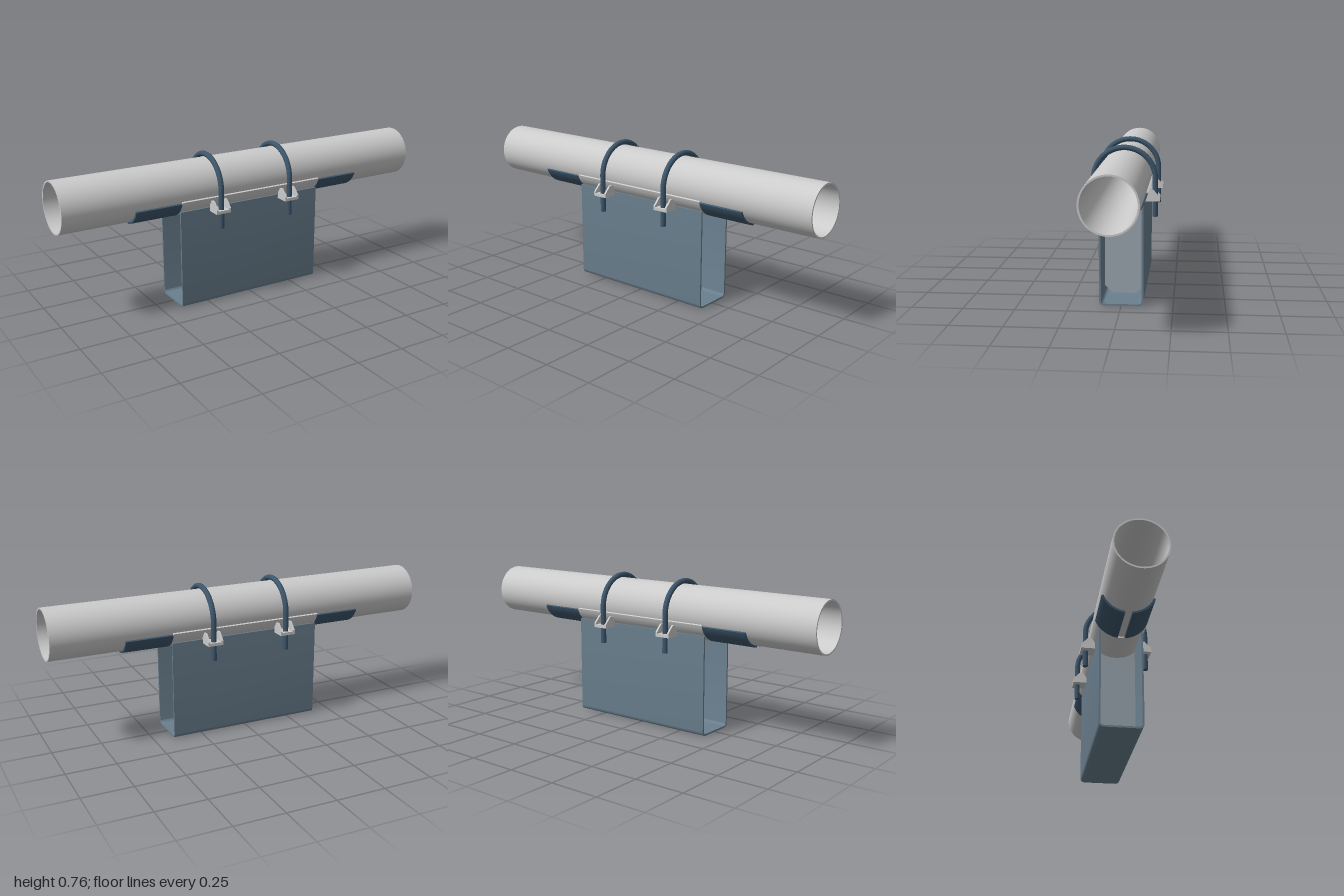
import * as THREE from 'three';
import { toCreasedNormals } from 'three/addons/utils/BufferGeometryUtils.js';

const AXIS_Y = 0.602, PIPE_R = 0.127, SADDLE_R = 0.137;
const DOWN = -Math.PI / 2;

const material = (color) => new THREE.MeshStandardMaterial({ color });
const grey = material(0xcccccc);
const steel = material(0x6a7f8e);
const dark = material(0x3d566b);
const web = material(0x98a5ad);

function add(parent, name, geometry, mat, x = 0, y = 0, z = 0) {
  const mesh = new THREE.Mesh(geometry, mat);
  mesh.name = name;
  mesh.position.set(x, y, z);
  parent.add(mesh);
  return mesh;
}

// Extrudes a cross-section (drawn as seen from +x) along x, centred
function section(shape, length) {
  const g = new THREE.ExtrudeGeometry(shape, { depth: length, bevelEnabled: false, curveSegments: 32 });
  g.translate(0, 0, -length / 2);
  g.rotateY(Math.PI / 2);
  return toCreasedNormals(g, 0.5);
}

// Curved plate around the pipe axis between two angles
function arcPlate(a0, a1, inner, outer) {
  const s = new THREE.Shape();
  s.absarc(0, 0, outer, a0, a1, false);
  s.absarc(0, 0, inner, a1, a0, true);
  s.closePath();
  return s;
}

// Rounded U outline, traced from top left round the bottom to top right
function traceU(path, w, bottom, top, r, reverse) {
  const d = reverse ? 1 : -1;
  path.lineTo(d * w, top);
  path.lineTo(d * w, bottom + r);
  path.quadraticCurveTo(d * w, bottom, d * (w - r), bottom);
  path.lineTo(-d * (w - r), bottom);
  path.quadraticCurveTo(-d * w, bottom, -d * w, bottom + r);
  path.lineTo(-d * w, top);
}

export function createModel() {
  const model = new THREE.Group();
  model.name = 'pipeSupport';

  // Pipe
  const ring = new THREE.Shape();
  ring.absarc(0, 0, PIPE_R, 0, Math.PI * 2, false);
  const bore = new THREE.Path();
  bore.absarc(0, 0, 0.119, 0, Math.PI * 2, true);
  ring.holes.push(bore);
  add(model, 'pipe', section(ring, 2), grey, 0, AXIS_Y);

  // Channel base
  const channel = new THREE.Shape();
  channel.moveTo(-0.107, 0.504);
  traceU(channel, 0.107, 0, 0.504, 0.027, false);
  traceU(channel, 0.098, 0.009, 0.504, 0.018, true);
  channel.closePath();
  add(model, 'channel', section(channel, 0.8), steel);

  // Webs inside the channel, hollowed for the saddle
  const plate = new THREE.Shape();
  plate.moveTo(-0.06, 0.009);
  plate.lineTo(0.06, 0.009);
  plate.lineTo(0.098, 0.047);
  plate.lineTo(0.098, 0.494);
  const half = Math.asin(0.098 / 0.145);
  plate.absarc(0, AXIS_Y, 0.145, DOWN + half, DOWN - half, true);
  plate.lineTo(-0.098, 0.047);
  plate.closePath();
  const webGeometry = section(plate, 0.012);
  for (const x of [-0.2, 0.2]) add(model, 'web', webGeometry, web, x);

  // Saddle under the pipe
  const saddle = arcPlate(DOWN - 1.25, DOWN + 1.25, PIPE_R, SADDLE_R);
  add(model, 'saddle', section(saddle, 0.8), grey, 0, AXIS_Y);

  // Liner strips projecting past both saddle ends
  for (const s of [-1, 1]) {
    const a = DOWN + s * 0.125, b = DOWN + s * 1.19;
    const liner = section(arcPlate(Math.min(a, b), Math.max(a, b), PIPE_R, SADDLE_R), 0.24);
    for (const x of [-0.52, 0.52]) add(model, 'liner', liner, dark, x, AXIS_Y);
  }

  // U-bolts with their lugs
  const bend = new THREE.TorusGeometry(0.152, 0.0135, 16, 40, Math.PI).rotateY(Math.PI / 2);
  const legTop = 0.592, legBottom = 0.403;
  const leg = new THREE.CylinderGeometry(0.0135, 0.0135, legTop - legBottom, 16);
  const profile = [[0.107, 0.485], [0.177, 0.485], [0.177, 0.507], [0.142, 0.543], [0.125, 0.543], [0.107, 0.516]];
  for (const x of [-0.2, 0.2]) {
    const bolt = new THREE.Group();
    bolt.name = 'uBolt';
    bolt.position.x = x;
    model.add(bolt);
    add(bolt, 'bend', bend, dark, 0, legTop);
    for (const s of [-1, 1]) {
      add(bolt, 'leg', leg, dark, 0, (legTop + legBottom) / 2, s * 0.152);
      // Lug: base plate with two side cheeks
      const cheek = section(new THREE.Shape(profile.map(([z, y]) => new THREE.Vector2(-s * z, y))), 0.01);
      for (const e of [-1, 1]) add(bolt, 'lugCheek', cheek, grey, e * 0.035);
      add(bolt, 'lugPlate', new THREE.BoxGeometry(0.06, 0.015, 0.07), grey, 0, 0.4925, s * 0.142);
    }
  }
  return model;
}
